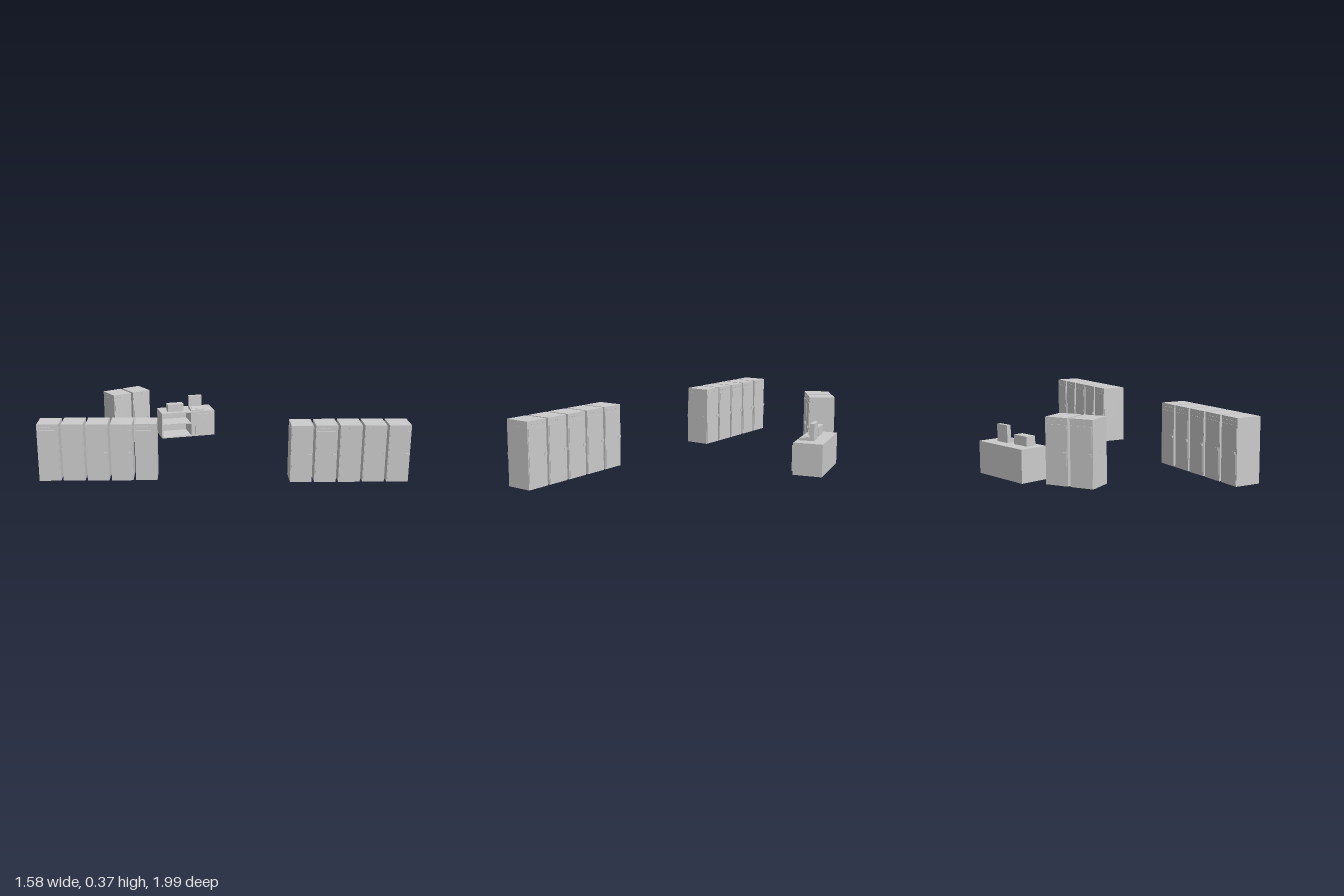
import * as THREE from 'three';

const material = new THREE.MeshStandardMaterial({ color: 0xcccccc, flatShading: true });

function box(parent, name, w, h, d, x, y, z) {
  const mesh = new THREE.Mesh(new THREE.BoxGeometry(w, h, d), material);
  mesh.name = name;
  mesh.position.set(x, y, z);
  parent.add(mesh);
  return mesh;
}

const W = 0.131, D = 0.153, BOTTOM = 0.013, TOP = 0.367, PITCH = 0.1456;

// One face of a cabinet: door, header vents and an L-shaped handle
function doorSide() {
  const side = new THREE.Group();
  side.name = 'doorSide';
  const z = D / 2;
  box(side, 'door', W - 0.01, 0.308, 0.004, 0, 0.176, z - 0.002);
  for (let i = 0; i < 6; i++) {
    box(side, 'headerVent', 0.012, 0.005, 0.002, (i - 2.5) * 0.019, 0.349, z - 0.002);
  }
  box(side, 'handleStem', 0.005, 0.014, 0.006, W / 2 - 0.01, 0.185, z + 0.002);
  box(side, 'handleGrip', 0.022, 0.014, 0.003, W / 2 - 0.016, 0.185, z + 0.0055);
  return side;
}

function cabinet() {
  const g = new THREE.Group();
  g.name = 'cabinet';
  box(g, 'body', W, TOP - BOTTOM, D - 0.005, 0, (TOP + BOTTOM) / 2, 0);
  // Identical doors front and back
  const front = doorSide();
  const back = doorSide();
  back.rotation.y = Math.PI;
  g.add(front, back);
  // Slots and fasteners on the end panels
  for (const s of [-1, 1]) {
    for (let i = 0; i < 4; i++) {
      box(g, 'sideVent', 0.002, 0.005, 0.014, s * W / 2, 0.335, (i - 1.5) * 0.032);
    }
    for (const z of [-0.045, 0, 0.045]) {
      box(g, 'sideFastener', 0.002, 0.004, 0.004, s * W / 2, 0.19, z);
    }
  }
  return g;
}

function cabinetRow(name, count, x, z, angle) {
  const row = new THREE.Group();
  row.name = name;
  for (let i = 0; i < count; i++) {
    const c = cabinet();
    c.position.x = (i - (count - 1) / 2) * PITCH;
    row.add(c);
  }
  row.position.set(x, 0, z);
  row.rotation.y = angle;
  return row;
}

function consoleDesk() {
  const g = new THREE.Group();
  g.name = 'consoleDesk';
  const w = 0.385, d = 0.164, h = 0.182, t = 0.008;
  const divider = 0.02;
  // Carcass, open at the front on the left half
  box(g, 'deskTop', w, t, d, 0, h - t / 2, 0);
  box(g, 'deskBase', w, t, d, 0, t / 2, 0);
  box(g, 'deskBack', w, h - 2 * t, t, 0, h / 2, -d / 2 + t / 2);
  box(g, 'deskEnd', t, h - 2 * t, d - t, -w / 2 + t / 2, h / 2, t / 2);
  const openWidth = divider + w / 2 - t;
  box(g, 'shelf', openWidth, t, d - t - 0.01, (divider - w / 2 + t) / 2, 0.095, 0);
  // Closed cupboard with a raised door
  box(g, 'cupboard', w / 2 - divider, h - 2 * t, d - t, (w / 2 + divider) / 2, h / 2, t / 2);
  box(g, 'cupboardDoor', 0.132, 0.145, 0.008, 0.117, 0.092, d / 2 + 0.004);
  box(g, 'doorPull', 0.03, 0.006, 0.003, 0.117, 0.135, d / 2 + 0.009);
  // Equipment on the desk top
  box(g, 'equipmentBox', 0.114, 0.053, 0.057, -0.084, h + 0.0265, 0.021);
  box(g, 'monitor', 0.093, 0.097, 0.024, 0.069, h + 0.0485, -0.003);
  box(g, 'screen', 0.078, 0.062, 0.002, 0.069, h + 0.056, 0.01);
  // Keyboard: a box whose rear top edge is raised into a wedge
  const keyboard = box(g, 'keyboard', 0.093, 0.01, 0.062, 0.069, h + 0.005, 0.04);
  const p = keyboard.geometry.attributes.position;
  for (let i = 0; i < p.count; i++) {
    if (p.getY(i) > 0 && p.getZ(i) < 0) p.setY(i, 0.015);
  }
  keyboard.geometry.computeVertexNormals();
  const keys = box(g, 'keyPad', 0.07, 0.003, 0.036, 0.069, h + 0.0155, 0.04);
  keys.rotation.x = Math.atan2(0.01, 0.062);
  g.position.set(0.546, 0, -0.718);
  g.rotation.y = -0.581;
  return g;
}

export function createModel() {
  const model = new THREE.Group();
  model.name = 'equipmentRoom';
  model.add(
    cabinetRow('rearCabinetRow', 5, -0.493, -0.468, -0.828),
    cabinetRow('frontCabinetRow', 5, 0.493, 0.68, -0.828),
    cabinetRow('cabinetPair', 2, 0.134, -0.887, -0.236),
    consoleDesk()
  );
  return model;
}
